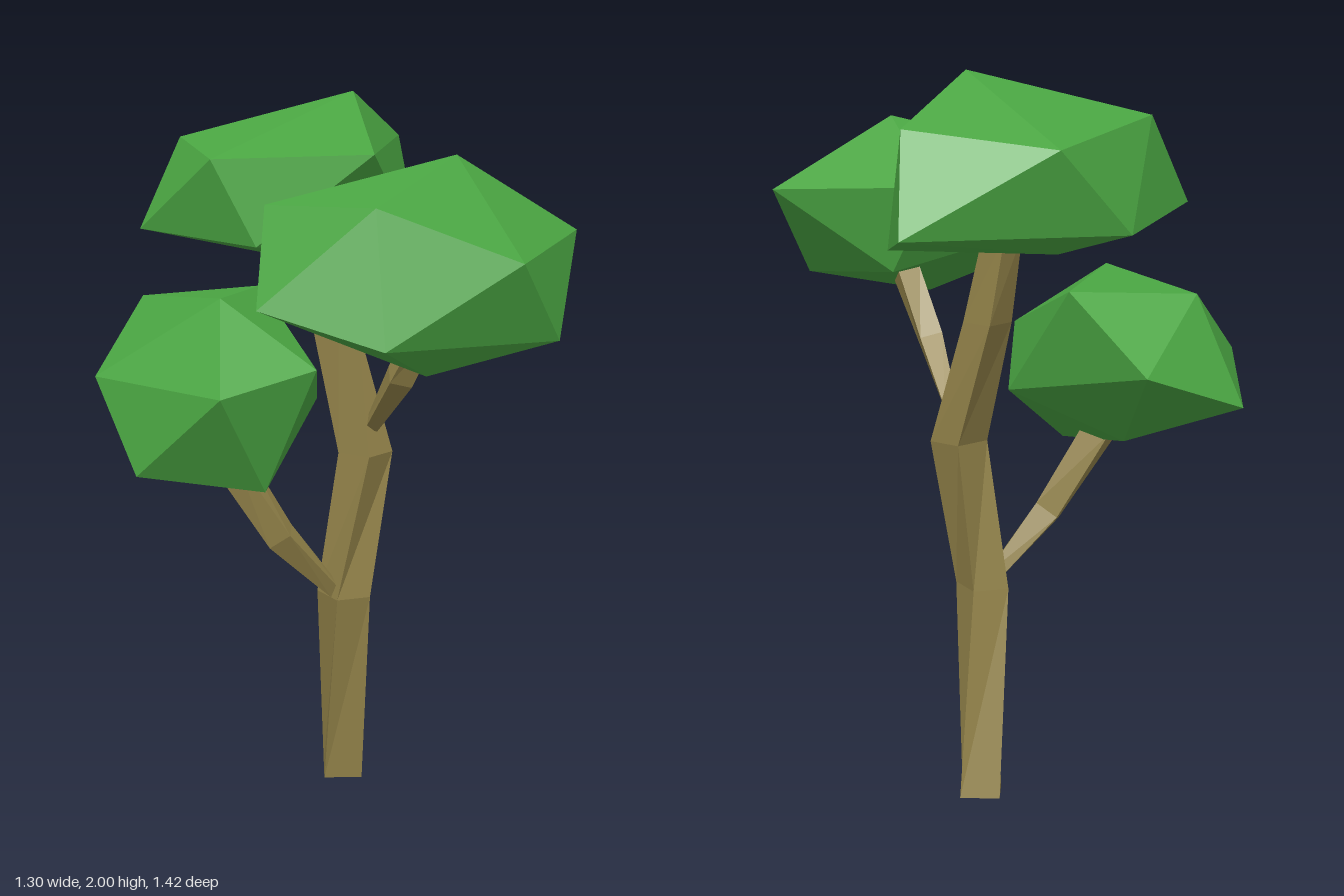
import * as THREE from 'three';
import { ConvexGeometry } from 'three/addons/geometries/ConvexGeometry.js';

const bark = new THREE.MeshStandardMaterial({ color: 0x94844a, flatShading: true });
const leaf = new THREE.MeshStandardMaterial({ color: 0x4aa542, flatShading: true });

// Joins four-cornered rings (counter-clockwise about the growth direction) into a capped limb
function limb(name, rings) {
  const pos = [];
  const quad = (a, b, c, d) => [a, b, c, a, c, d].forEach((p) => pos.push(p.x, p.y, p.z));
  for (let i = 0; i < rings.length - 1; i++) {
    for (let j = 0; j < 4; j++) {
      const k = (j + 1) % 4;
      quad(rings[i][j], rings[i][k], rings[i + 1][k], rings[i + 1][j]);
    }
  }
  quad(...rings[0].slice().reverse());
  quad(...rings[rings.length - 1]);
  const geo = new THREE.BufferGeometry();
  geo.setAttribute('position', new THREE.Float32BufferAttribute(pos, 3));
  geo.computeVertexNormals();
  const mesh = new THREE.Mesh(geo, bark);
  mesh.name = name;
  return mesh;
}

// Square ring at each path point, facing along the path; each point is [x, y, z, radius]
function branch(name, path) {
  const pts = path.map((p) => new THREE.Vector3(p[0], p[1], p[2]));
  const rings = pts.map((p, i) => {
    const t = pts[Math.min(i + 1, pts.length - 1)].clone().sub(pts[Math.max(i - 1, 0)]).normalize();
    const u = new THREE.Vector3(0, 1, 0).cross(t).normalize();
    const v = t.clone().cross(u);
    return [0, 1, 2, 3].map((j) => {
      const a = (j * Math.PI) / 2 + 0.4;
      return p.clone().addScaledVector(u, Math.cos(a) * path[i][3]).addScaledVector(v, Math.sin(a) * path[i][3]);
    });
  });
  return limb(name, rings);
}

// Faceted clump of leaves wrapped around a few corner points
function crown(name, corners) {
  const geo = new ConvexGeometry(corners.map((c) => new THREE.Vector3(...c)));
  const mesh = new THREE.Mesh(geo, leaf);
  mesh.name = name;
  return mesh;
}

export function createModel() {
  const tree = new THREE.Group();
  tree.name = 'tree';

  // Trunk: square section that twists and bends on the way up; [height, x/z corners]
  const trunk = [
    [0, [[-0.015, -0.125], [0.095, -0.125], [0.095, -0.235], [-0.015, -0.235]]],
    [0.575, [[0.02, -0.02], [0.115, -0.055], [0.06, -0.165], [-0.035, -0.13]]],
    [0.99, [[0.11, -0.03], [0.18, -0.12], [0.1, -0.19], [0.025, -0.1]]],
    [1.33, [[0.025, -0.11], [0.085, -0.19], [0.01, -0.27], [-0.045, -0.18]]],
    [1.57, [[-0.01, -0.17], [0.03, -0.225], [-0.03, -0.28], [-0.075, -0.225]]],
  ];
  tree.add(limb('trunk', trunk.map(([y, c]) => c.map(([x, z]) => new THREE.Vector3(x, y, z)))));

  // Side branches
  tree.add(branch('rightBranch', [
    [0.015, 0.59, -0.07, 0.025], [-0.14, 0.77, 0, 0.05], [-0.29, 1.01, 0.01, 0.055],
  ]));
  tree.add(branch('leftBranch', [
    [0.12, 1.07, -0.1, 0.025], [0.19, 1.24, 0.08, 0.045], [0.265, 1.42, 0.16, 0.045],
  ]));

  // Leaf crowns
  tree.add(crown('topCrown', [
    [0.21, 1.595, -0.71], [0.215, 1.86, -0.57], [0.27, 1.54, -0.36], [0.07, 2, -0.29],
    [0.12, 1.84, 0.01], [-0.18, 1.81, -0.585], [-0.36, 1.59, -0.455], [-0.415, 1.88, -0.15],
    [-0.52, 1.64, 0], [-0.32, 1.84, 0.18], [-0.2, 1.61, 0.2], [-0.17, 1.53, -0.35],
  ]));
  tree.add(crown('leftCrown', [
    [0.32, 1.86, 0.3], [0.65, 1.655, 0.19], [0.58, 1.395, 0.43], [0.47, 1.61, 0.58],
    [0.1, 1.75, 0.6], [-0.175, 1.74, 0.39], [-0.195, 1.495, 0.58], [0.23, 1.325, 0.555],
    [0.12, 1.41, 0.71], [0.18, 1.675, 0.005], [0.3, 1.43, 0.105], [-0.12, 1.55, 0.21],
  ]));
  tree.add(crown('rightCrown', [
    [-0.4, 1.235, -0.535], [-0.535, 1.42, -0.27], [-0.655, 1.135, -0.375], [-0.65, 1.235, 0.025],
    [-0.53, 0.985, 0.18], [-0.295, 1.225, 0.34], [-0.18, 0.945, 0.2], [-0.3, 1.46, 0.095],
    [-0.2, 1.435, -0.365], [-0.04, 1.28, 0.2], [-0.035, 1.14, -0.15], [-0.35, 1, -0.15],
  ]));

  return tree;
}
